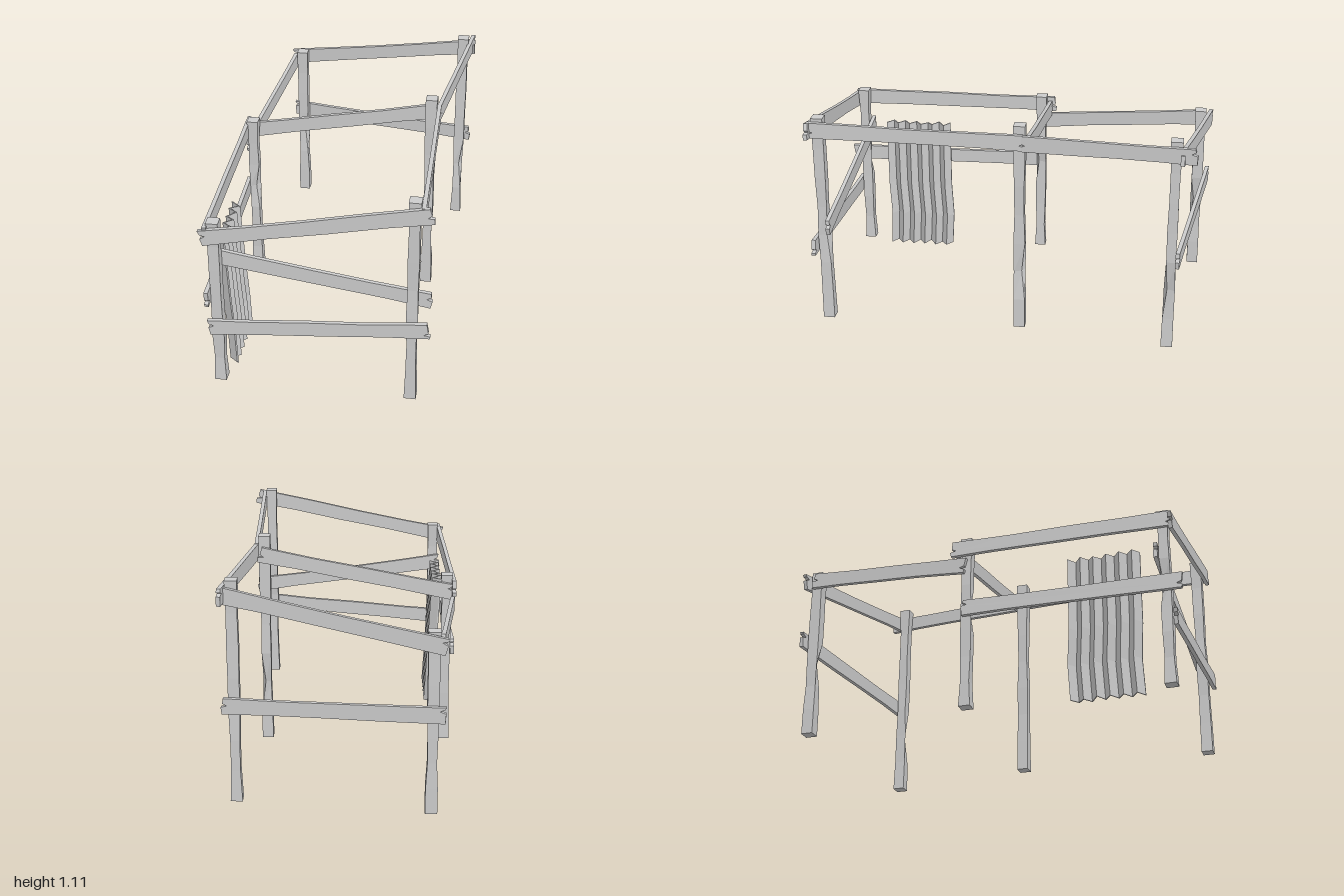
import * as THREE from 'three';

const wood = new THREE.MeshStandardMaterial({ color: 0xcccccc, flatShading: true });

function seeded(seed) {
  let s = seed * 7919 + 17;
  return () => ((s = (s * 16807) % 2147483647) / 2147483647);
}

function add(group, geometry, name) {
  const mesh = new THREE.Mesh(geometry, wood);
  mesh.name = name;
  group.add(mesh);
  return mesh;
}

// Rough square post: side rings wander slightly and one edge is chipped
function post(group, name, x, z, top, seed) {
  const bottom = 0.02, h = top - bottom, n = 7;
  const rnd = seeded(seed);
  const rings = Array.from({ length: n + 1 }, () => [rnd() * 0.007, rnd() * 0.007]);
  const chipRing = 2 + Math.floor(rnd() * 3);
  const sx = rnd() < 0.5 ? -1 : 1, sz = rnd() < 0.5 ? -1 : 1;
  const g = new THREE.BoxGeometry(0.058, h, 0.058, 1, n, 1);
  const p = g.attributes.position;
  for (let i = 0; i < p.count; i++) {
    const k = Math.round((p.getY(i) / h + 0.5) * n);
    const a = Math.sign(p.getX(i)), b = Math.sign(p.getZ(i));
    let dx = 0, dz = 0;
    if (k > 0 && k < n) {
      dx = -a * rings[k][0];
      dz = -b * rings[k][1];
      if (k === chipRing && a === sx && b === sz) { dx -= a * 0.016; dz -= b * 0.016; }
    }
    p.setXYZ(i, p.getX(i) + dx, p.getY(i), p.getZ(i) + dz);
  }
  add(group, g, name).position.set(x, bottom + h / 2, z);
}

// Upright plank between two end centres, with split ends and worn edges
function plank(group, name, a, b, seed, height = 0.08, thick = 0.02) {
  const A = new THREE.Vector3(...a), B = new THREE.Vector3(...b);
  const L = A.distanceTo(B), hh = height / 2, rnd = seeded(seed);
  const wear = () => rnd() * 0.006;
  const n1 = (rnd() - 0.5) * hh, n2 = (rnd() - 0.5) * hh;
  const outline = [
    [0.006, -hh],
    [L * 0.3, -hh + wear()], [L * 0.55, -hh + wear()], [L * 0.8, -hh + wear()],
    [L - 0.004, -hh],
    [L, n2 - 0.008], [L - 0.03, n2], [L - 0.008, n2 + 0.01], [L - 0.012, hh],
    [L * 0.72, hh - wear()], [L * 0.45, hh - wear()], [L * 0.2, hh - wear()],
    [0, hh],
    [0.006, n1 + 0.01], [0.03, n1], [0.002, n1 - 0.01],
  ].map(([x, y]) => new THREE.Vector2(x, y));
  const g = new THREE.ExtrudeGeometry(new THREE.Shape(outline), { depth: thick, bevelEnabled: false });
  g.translate(0, 0, -thick / 2);
  const X = B.clone().sub(A).normalize();
  const Z = X.clone().cross(new THREE.Vector3(0, 1, 0)).normalize();
  const Y = Z.clone().cross(X);
  g.applyMatrix4(new THREE.Matrix4().makeBasis(X, Y, Z).setPosition(A));
  add(group, g, name);
}

// Folded sheet leaning against the left side
function corrugatedSheet(group) {
  const H = 0.73, W = 0.35, folds = 11, rows = 4;
  const g = new THREE.BoxGeometry(0.008, H, W, 1, rows, folds);
  const p = g.attributes.position;
  const rnd = seeded(5);
  const ends = Array.from({ length: folds + 1 }, () => rnd() * 0.008);
  const shift = [0, -0.008, 0.004, 0.006, 0.008];
  for (let i = 0; i < p.count; i++) {
    const t = p.getY(i) / H + 0.5;
    const col = Math.round((p.getZ(i) / W + 0.5) * folds);
    const row = Math.round(t * rows);
    const fold = (col % 2 ? 1 : -1) * 0.021;
    const lean = -0.463 - 0.034 * t;
    const ragged = row === 0 ? ends[col] : row === rows ? -ends[col] : 0;
    p.setXYZ(i, p.getX(i) + fold + lean, t * H + 0.005 + ragged, p.getZ(i) + 0.608 + shift[row]);
  }
  add(group, g, 'corrugatedSheet');
}

export function createModel() {
  const group = new THREE.Group();
  group.name = 'timberFrame';

  // Posts: low row on the right side (-x), tall row on the left (+x)
  [
    ['frontRightPost', -0.49, 0.913, 0.92],
    ['middleRightPost', -0.52, -0.07, 0.92],
    ['backRightPost', -0.42, -0.933, 0.92],
    ['frontLeftPost', 0.437, 0.913, 1.12],
    ['middleLeftPost', 0.405, -0.07, 1.12],
    ['backLeftPost', 0.5, -0.82, 1.12],
  ].forEach(([name, x, z, top], i) => post(group, name, x, z, top, i + 3));

  // Planks: name, start, end
  [
    ['frontTopBeam', [-0.545, 0.85, 0.955], [0.525, 1.072, 0.955]],
    ['frontLowRail', [-0.53, 0.348, 0.955], [0.525, 0.445, 0.955]],
    ['frontInnerRail', [-0.53, 0.71, 0.875], [0.525, 0.56, 0.875]],
    ['middleTopBeam', [-0.55, 0.838, -0.115], [0.435, 1.03, -0.112]],
    ['backTopBeam', [-0.48, 0.86, -0.988], [0.56, 1.055, -0.85]],
    ['backRail', [-0.48, 0.53, -0.985], [0.56, 0.513, -0.85]],
    ['rightFrontTopBeam', [-0.522, 0.868, 0.96], [-0.555, 0.862, -0.15]],
    ['rightFrontRail', [-0.522, 0.53, 0.998], [-0.555, 0.53, -0.09]],
    ['rightBackTopBeam', [-0.553, 0.765, -0.07], [-0.458, 0.865, -0.95]],
    ['leftFrontTopBeam', [0.478, 1.065, 0.96], [0.443, 1.04, -0.1]],
    ['leftBackTopBeam', [0.442, 1.037, -0.07], [0.55, 1.06, -0.92]],
  ].forEach(([name, a, b], i) => plank(group, name, a, b, i + 11));

  corrugatedSheet(group);
  return group;
}
